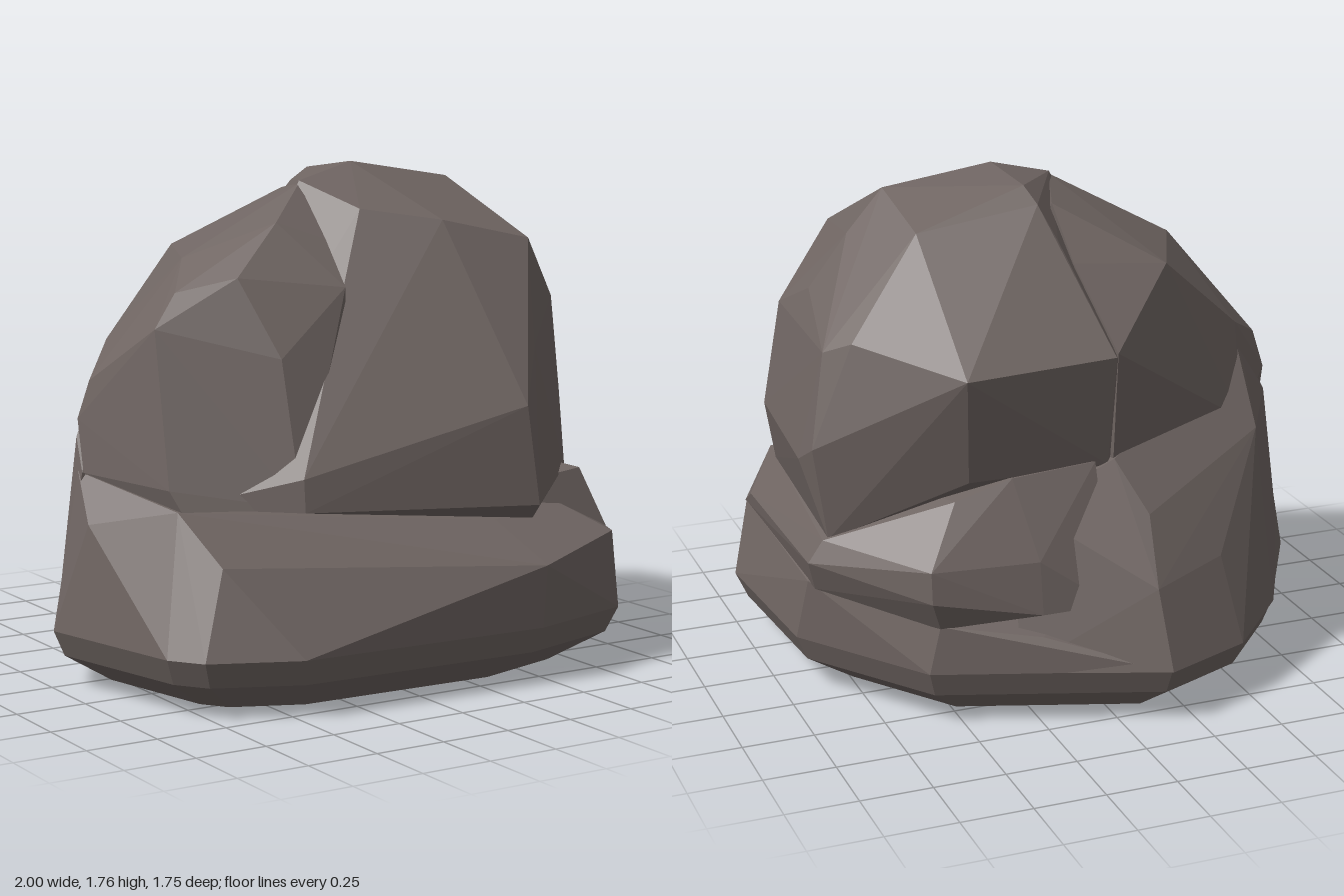
import * as THREE from 'three';
import { ConvexGeometry } from 'three/addons/geometries/ConvexGeometry.js';

export function createModel() {
  const group = new THREE.Group();
  const stone = new THREE.MeshStandardMaterial({ color: 0x6f6562 });
  stone.name = 'warm grey stone';

  // Each chunk of rock is the hull of a few corner points
  const chunk = (name, corners) => {
    const points = corners.map(([x, y, z]) => new THREE.Vector3(x, y, z));
    const mesh = new THREE.Mesh(new ConvexGeometry(points), stone);
    mesh.name = name;
    group.add(mesh);
  };

  // Base slab: one outline repeated for the bevelled foot, then the sloping top
  const outline = [
    [-1, 0.02], [-0.87, 0.58], [-0.79, 0.69], [-0.49, 0.82], [0.44, 0.85],
    [0.86, 0.73], [1, 0.49], [0.95, -0.14], [0.62, -0.6], [0.33, -0.7], [-0.15, -0.87],
    [-0.47, -0.74], [-0.73, -0.45],
  ];
  const foot = [[0, 0.78], [0.11, 0.96], [0.2, 1]]
    .flatMap(([y, s]) => outline.map(([x, z]) => [x * s, y, z * s]));
  chunk('baseSlab', [
    ...foot,
    [-0.69, 0.49, 0.63], [0.44, 0.42, 0.87], [0.85, 0.47, 0.7], [0.93, 0.46, 0.55],
    [0.92, 0.43, -0.2], [0.58, 0.37, -0.6], [0.25, 0.32, -0.7], [-0.75, 0.65, 0.44],
    [0.4, 0.54, 0.62], [0.72, 0.57, 0.5], [-0.93, 0.58, 0.15], [-0.9, 0.74, 0.02],
  ]);

  // Shelf between the slab and the boulder on the right and back
  chunk('sideShelf', [
    [0.84, 0.67, 0.52], [0.93, 0.45, 0.57], [0.94, 0.52, 0.45], [0.89, 0.61, -0.29],
    [0.94, 0.53, -0.28], [0.91, 0.42, -0.25], [0.62, 0.58, -0.63], [0.62, 0.47, -0.64],
    [0.58, 0.36, -0.6], [0.5, 0.78, -0.53], [0.3, 0.84, -0.54], [0.25, 0.58, -0.67],
    [0.25, 0.4, -0.7], [0, 0.86, -0.54], [0, 0.4, -0.7], [0.3, 0.6, 0.5], [0.2, 0.4, 0.4],
  ]);

  // Sloping buttress at the back left
  chunk('backButtress', [
    [-0.15, 0.2, -0.88], [-0.47, 0.2, -0.75], [-0.73, 0.2, -0.46], [-0.98, 0.2, 0],
    [0.35, 0.2, -0.69], [-0.13, 0.47, -0.79], [-0.42, 0.5, -0.66], [-0.15, 0.69, -0.66],
    [-0.07, 0.86, -0.54], [-0.68, 0.84, -0.38], [-0.71, 1.0, -0.22], [-0.7, 1.12, -0.14],
    [-0.88, 0.85, -0.03], [-0.9, 0.74, 0.05], [0.25, 0.72, -0.55], [0, 0.5, 0.2],
  ]);

  // Main boulder, overhanging the slab
  chunk('mainBoulder', [
    [0.13, 1.76, 0.11], [0.52, 1.7, 0.13], [-0.1, 1.7, 0.14], [0.1, 1.73, -0.13],
    [0.08, 1.68, -0.21], [0.5, 1.61, -0.17], [0.04, 1.57, -0.3],
    [0.02, 1.61, 0.34], [0.28, 1.57, 0.46], [0.6, 1.5, 0.52],
    [0.53, 1.14, 0.66], [0.4, 0.96, 0.8], [0.44, 0.62, 0.82], [0.47, 0.56, 0.74],
    [-0.4, 0.76, 0.66], [-0.4, 0.65, 0.67], [-0.74, 0.66, 0.42],
    [0.66, 1.56, 0.1], [0.8, 1.38, 0.1], [0.84, 1.27, 0.34], [0.92, 0.92, 0.29],
    [0.94, 0.88, -0.2], [0.85, 0.66, 0.42], [0.87, 0.61, -0.29], [0.78, 1.3, -0.32],
    [0.86, 1.26, -0.25], [0.92, 0.94, -0.3], [0.48, 1.22, -0.61], [0.45, 0.84, -0.53],
    [-0.05, 1.24, -0.6], [-0.05, 0.84, -0.53],
  ]);

  // Shoulder running down from the crest on the left-hand side
  chunk('shoulder', [
    [-0.1, 1.69, 0.14], [0, 1.66, -0.14], [0, 1.5, -0.34],
    [-0.27, 1.57, 0.27], [-0.11, 1.51, 0.33], [-0.54, 1.45, 0.1], [-0.65, 1.35, 0.25],
    [-0.76, 1.24, 0.31], [-0.48, 1.4, 0.37], [-0.12, 1.36, 0.47], [-0.4, 1.14, 0.52],
    [-0.7, 1.16, -0.15], [-0.35, 1.46, -0.32], [-0.06, 1.25, -0.59], [-0.87, 1.05, 0.05],
    [-0.9, 0.92, 0.02], [-0.9, 0.74, 0.06], [-0.77, 0.72, 0.42], [-0.74, 0.65, 0.45],
    [-0.4, 0.66, 0.65], [-0.66, 0.85, -0.3], [-0.07, 0.84, -0.53], [0, 0.7, 0.3],
  ]);

  return group;
}
